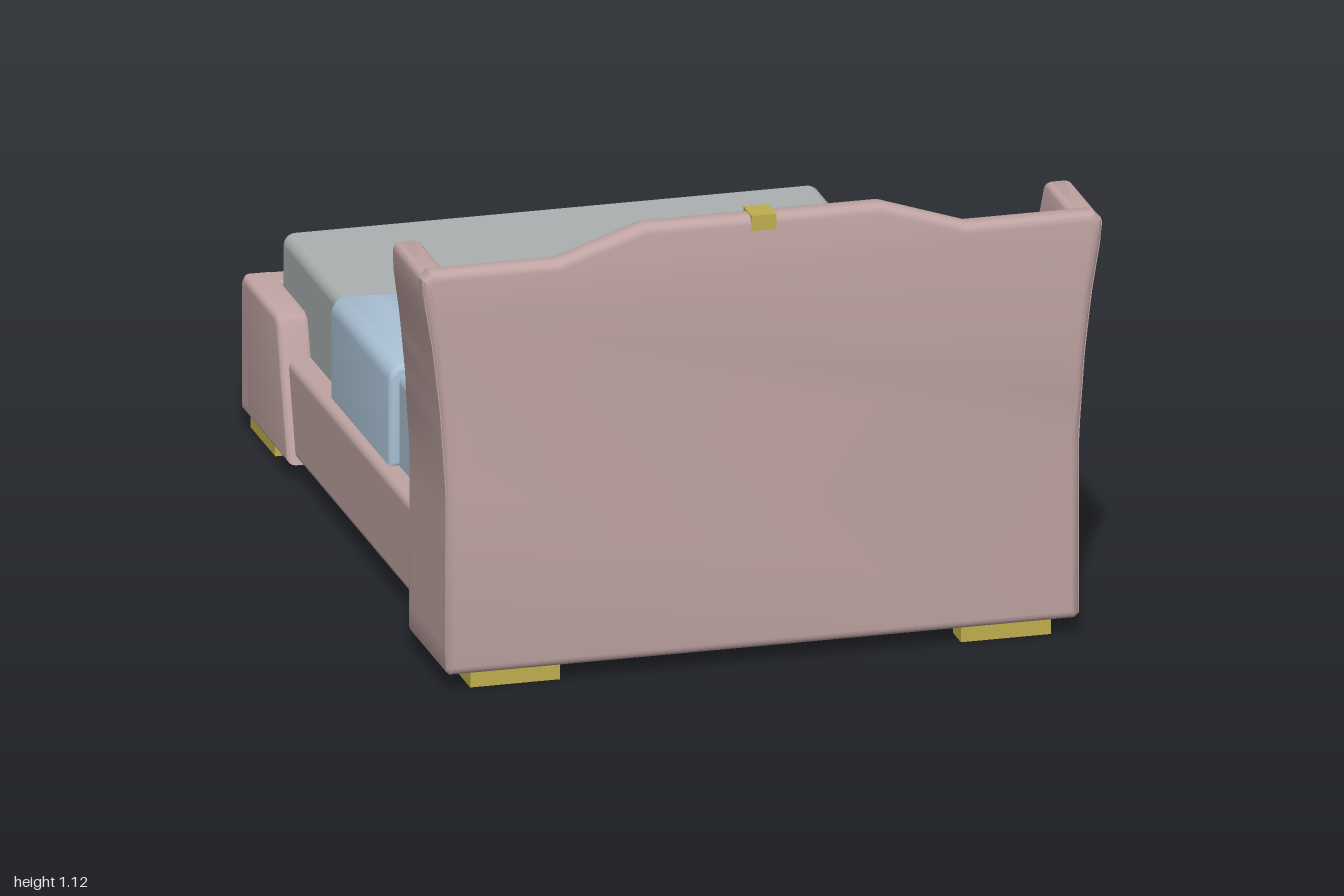
import * as THREE from 'three';
import { mergeGeometries, mergeVertices, toCreasedNormals } from 'three/addons/utils/BufferGeometryUtils.js';
import { RoundedBoxGeometry } from 'three/addons/geometries/RoundedBoxGeometry.js';

const mat = (name, color) => {
  const m = new THREE.MeshStandardMaterial({ color });
  m.name = name;
  return m;
};

// Piecewise linear lookup
const lookup = (xs, ys) => (x) => {
  if (x <= xs[0]) return ys[0];
  for (let i = 1; i < xs.length; i++) {
    if (x <= xs[i]) return THREE.MathUtils.lerp(ys[i - 1], ys[i], (x - xs[i - 1]) / (xs[i] - xs[i - 1]));
  }
  return ys[ys.length - 1];
};

// Headboard rules by height: outward flare, and depth of the wings' leading edge
const flare = lookup([0.5, 0.7, 0.85, 1.0], [0, 0.014, 0.031, 0.056]);
const wingEdge = lookup([0.04, 0.45, 0.62, 0.85, 0.95, 1.04], [0.648, 0.65, 0.656, 0.675, 0.69, 0.713]);

// Move every vertex by a rule
function warp(geo, rule) {
  const p = geo.attributes.position, v = new THREE.Vector3();
  for (let i = 0; i < p.count; i++) {
    rule(v.fromBufferAttribute(p, i));
    p.setXYZ(i, v.x, v.y, v.z);
  }
  return geo;
}

// Extrusion with soft edges filling z = 0..depth without growing the outline
function softExtrude(shape, depth, bevel, steps = 1) {
  const geo = new THREE.ExtrudeGeometry(shape, {
    depth: depth - 2 * bevel, steps, curveSegments: 6, bevelEnabled: true,
    bevelThickness: bevel, bevelSize: bevel, bevelOffset: -bevel, bevelSegments: 4,
  });
  return geo.translate(0, 0, bevel);
}

const polygon = (pts) => new THREE.Shape(pts.map(([x, y]) => new THREE.Vector2(x, y)));
const smooth = (geo) => toCreasedNormals(geo, 0.6);

// Box given by its limits
function block(x0, x1, y0, y1, z0, z1, r = 0) {
  const w = x1 - x0, h = y1 - y0, d = z1 - z0;
  const geo = r ? new RoundedBoxGeometry(w, h, d, 4, r) : new THREE.BoxGeometry(w, h, d);
  return geo.translate((x0 + x1) / 2, (y0 + y1) / 2, (z0 + z1) / 2);
}

// Stuffed cushion with drawn-in sides and a seam all round
function pillowGeometry(w, d, t) {
  const half = (sign) => {
    const g = new THREE.PlaneGeometry(2, 2, 20, 20).rotateX(-sign * Math.PI / 2);
    g.deleteAttribute('uv');
    g.deleteAttribute('normal');
    return warp(g, (p) => {
      const u = Math.sin(p.x * Math.PI / 2), v = Math.sin(p.z * Math.PI / 2);
      const corner = 1 - 0.07 * u * u * v * v;
      const puff = Math.sqrt(Math.max(0, (1 - u ** 4) * (1 - v ** 4)));
      p.set(u * corner * (1 - 0.07 * (1 - v * v)) * w / 2 * 1.06,
        sign * puff * t / 2,
        v * corner * (1 - 0.07 * (1 - u * u)) * d / 2 * 1.06);
    });
  };
  const geo = mergeVertices(mergeGeometries([half(1), half(-1)]), 1e-4);
  geo.computeVertexNormals();
  return geo;
}

export function createModel() {
  const pink = mat('pink upholstery', 0xbfa4a2);
  const grey = mat('grey fabric', 0xabb0b1);
  const blue = mat('pale blue linen', 0xabc2d6);
  const sky = mat('bolster blue', 0x8ab4d6);
  const gold = mat('brass', 0xbfae4c);

  const model = new THREE.Group();
  model.name = 'bed';
  const add = (name, geo, material) => {
    const mesh = new THREE.Mesh(geo, material);
    mesh.name = name;
    model.add(mesh);
    return mesh;
  };

  // Base
  add('base', block(-0.71, 0.71, 0.05, 0.28, -0.93, 0.96, 0.02), pink);

  // Headboard panel with flared sides and raised middle
  const side = [0.04, 0.5, 0.6, 0.7, 0.78, 0.85, 0.93, 1.0].map((y) => [0.775 + flare(y), y]);
  side[0] = [0.765, 0.04];
  side.splice(1, 0, [0.775, 0.055]);
  side.push([0.831, 1.03], [0.812, 1.05], [0.5, 1.05], [0.29, 1.12]);
  const outline = side.concat(side.map(([x, y]) => [-x, y]).reverse());
  add('headboardPanel', smooth(softExtrude(polygon(outline), 0.063, 0.022).translate(0, 0, 0.934)), pink);

  for (const s of [1, -1]) {
    const label = s > 0 ? 'left' : 'right';

    // Headboard wing: rounded plan section raised, flared and raked
    const plan = new THREE.Shape();
    const a = 0.035, r = 0.022, zb = 0.985, zf = 0.65;
    plan.absarc(a - r, -zf - r, r, 0, Math.PI / 2);
    plan.absarc(-a + r, -zf - r, r, Math.PI / 2, Math.PI);
    plan.lineTo(-a, -zb);
    plan.lineTo(a, -zb);
    plan.closePath();
    const wing = softExtrude(plan, 1.0, 0.018, 18).rotateX(-Math.PI / 2).translate(0, 0.04, 0);
    warp(wing, (p) => {
      p.x += s * (0.74 + flare(p.y));
      p.z += (wingEdge(p.y) - zf) * (zb - p.z) / (zb - zf);
    });
    add(label + 'HeadboardWing', smooth(wing), pink);

    // Brass trim along the wing's leading edge
    const trim = new THREE.BoxGeometry(0.046, 0.98, 0.016, 1, 18, 1).translate(0, 0.54, 0.004);
    warp(trim, (p) => {
      p.x += s * (0.74 + flare(p.y));
      p.z += wingEdge(p.y);
    });
    add(label + 'WingTrim', smooth(trim), gold);

    // Footboard return with sloping end
    const cheek = polygon([[-0.975, 0.04], [-0.555, 0.04], [-0.645, 0.35], [-0.655, 0.37], [-0.68, 0.38], [-0.965, 0.38]]);
    const cheekGeo = softExtrude(cheek, 0.085, 0.018).rotateY(-Math.PI / 2).translate(s > 0 ? 0.73 : -0.645, 0, 0);
    add(label + 'FootboardReturn', smooth(cheekGeo), pink);

    // L-shaped corner feet
    for (const e of [1, -1]) {
      const out = e > 0 ? 0.97 : 0.955, inn = out - 0.215;
      const span = (p, q, k) => (k > 0 ? [p, q] : [-q, -p]);
      const foot = mergeGeometries([
        block(...span(0.49, 0.71, s), 0, 0.055, ...span(out - 0.07, out, e)),
        block(...span(0.64, 0.71, s), 0, 0.055, ...span(inn, out - 0.07, e)),
      ]);
      add(label + (e > 0 ? 'Head' : 'End') + 'Foot', foot, gold);
    }
  }

  // Headboard cushions
  const seams = [-0.76, -0.53, -0.265, 0, 0.265, 0.53, 0.76];
  for (let i = 0; i < 6; i++) {
    add('headboardCushion', block(seams[i], seams[i + 1], 0.27, 0.965, 0.815, 0.94, 0.035), grey);
  }

  // Footboard with draped panel
  add('footboard', block(-0.73, 0.73, 0.04, 0.38, -0.982, -0.88, 0.025), pink);
  const drape = polygon([[-0.27, 0.04], [0.27, 0.04], [0.41, 0.37], [0.405, 0.4], [-0.405, 0.4], [-0.41, 0.37]]);
  add('footboardDrape', smooth(softExtrude(drape, 0.083, 0.018).translate(0, 0, -0.996)), grey);

  // Brass straps
  add('headboardStrap', mergeGeometries([
    block(-0.03, 0.03, 1.085, 1.123, 0.928, 1.0),
    block(-0.03, 0.03, 0.94, 1.085, 0.928, 0.936),
  ]), gold);
  add('footboardStrap', mergeGeometries([
    block(-0.03, 0.03, 0.38, 0.404, -1.0, -0.91),
    block(-0.03, 0.03, 0.27, 0.38, -1.0, -0.99),
  ]), gold);

  // Mattress and sheet
  add('mattress', block(-0.655, 0.655, 0.25, 0.508, -0.89, 0.82, 0.03), grey);
  add('sheet', block(-0.661, 0.661, 0.25, 0.513, 0.0, 0.822, 0.03), blue);

  // Folded blanket: arch section swept lengthwise between two wavy edges
  const w = 0.685, top = 0.53, low = 0.275, c = 0.04, arch = [];
  for (let i = 0; i <= 6; i++) {
    const t = Math.PI * i / 12;
    arch.push([w - c + c * Math.cos(t), top - c + c * Math.sin(t)]);
  }
  for (let i = 1; i < 20; i++) arch.push([(w - c) * (1 - i / 10), top]);
  for (let i = 0; i <= 6; i++) {
    const t = Math.PI * (0.5 + i / 12);
    arch.push([-w + c + c * Math.cos(t), top - c + c * Math.sin(t)]);
  }
  for (let i = 0; i <= 20; i++) arch.push([-w + w * i / 10, low]);
  const nearFoot = lookup([-0.68, -0.4, -0.05, 0.2, 0.4, 0.6, 0.68], [-0.35, -0.325, -0.268, -0.255, -0.22, -0.165, -0.145]);
  const nearHead = lookup([-0.68, -0.3, 0, 0.2, 0.4, 0.6, 0.68], [0.172, 0.182, 0.206, 0.21, 0.235, 0.28, 0.3]);
  const fold = softExtrude(polygon(arch), 0.5, 0.014);
  warp(fold, (p) => { p.z = THREE.MathUtils.lerp(nearFoot(p.x), nearHead(p.x), p.z / 0.5); });
  add('foldedBlanket', smooth(fold), blue);

  // Bolster and two pairs of pillows
  const bolster = new THREE.CapsuleGeometry(0.065, 1.0, 8, 24).rotateZ(Math.PI / 2).scale(1, 1.1, 1);
  add('bolster', bolster.translate(-0.01, 0.58, 0.757), sky);
  for (const x of [-0.315, 0.285]) {
    const large = add('largePillow', pillowGeometry(0.52, 0.36, 0.12), blue);
    large.position.set(x, 0.605, 0.58);
    large.rotation.x = -0.42;
    const small = add('smallPillow', pillowGeometry(0.35, 0.23, 0.085), blue);
    small.position.set(x, 0.592, 0.39);
    small.rotation.x = -0.68;
  }

  return model;
}
